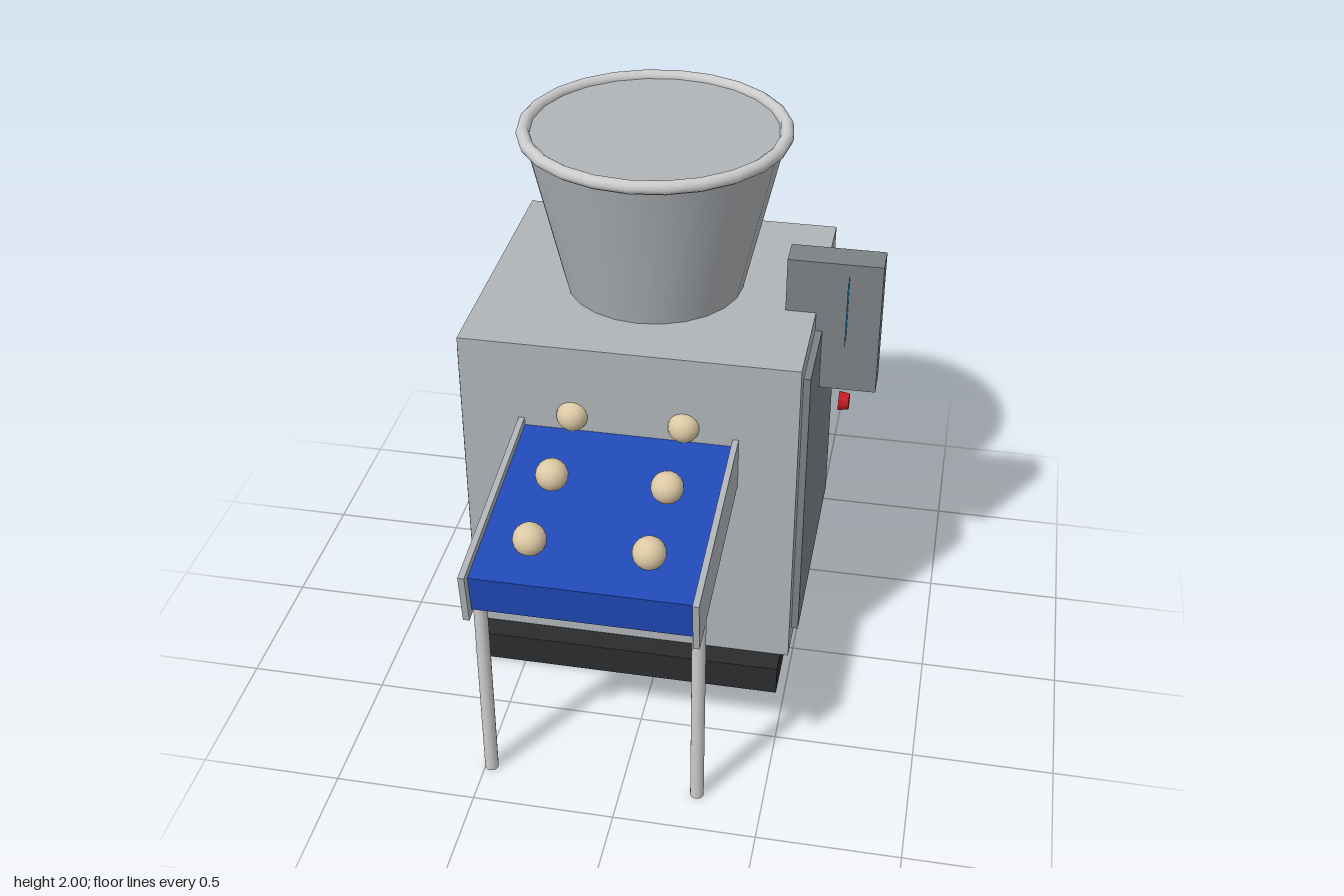
import * as THREE from 'three';

const paint = (color) => new THREE.MeshStandardMaterial({ color });

export function createModel() {
  const model = new THREE.Group();
  const steel = paint(0xb0b4b8), silver = paint(0xcccccc), panelGrey = paint(0x7c8184);
  const black = paint(0x2a2c2e), blue = paint(0x2149b8), cream = paint(0xdcc9a4);
  const red = paint(0xc41c22), screenBlue = paint(0x1c94d2);
  screenBlue.side = THREE.DoubleSide;

  function add(name, geometry, material, x, y, z, parent = model) {
    const mesh = new THREE.Mesh(geometry, material);
    mesh.name = name;
    mesh.position.set(x, y, z);
    parent.add(mesh);
    return mesh;
  }
  // Box given by its lower and upper limits on each axis
  function block(name, material, [x0, x1], [y0, y1], [z0, z1], parent = model) {
    return add(name, new THREE.BoxGeometry(x1 - x0, y1 - y0, z1 - z0), material,
      (x0 + x1) / 2, (y0 + y1) / 2, (z0 + z1) / 2, parent);
  }

  // Cabinet on its plinth, with a raised panel on each side
  block('plinth', black, [-0.685, 0.47], [0, 0.115], [-0.977, 0.265]);
  block('cabinet', steel, [-0.71, 0.5], [0.115, 1.375], [-0.893, 0.178]);
  block('rightSidePanel', panelGrey, [-0.735, -0.7], [0.19, 1.302], [-0.822, 0.105]);
  block('leftSidePanel', panelGrey, [0.49, 0.525], [0.19, 1.302], [-0.822, 0.105]);

  // Round hopper, closed at the top, with a rolled rim
  add('hopper', new THREE.CylinderGeometry(0.463, 0.325, 0.6, 24), steel, -0.108, 1.675, -0.36);
  const rim = add('hopperRim', new THREE.TorusGeometry(0.463, 0.024, 10, 24), silver, -0.108, 1.975, -0.36);
  rim.rotation.x = Math.PI / 2;

  // Control box with a thin screen through it and a button below
  block('controlBox', panelGrey, [0.39, 0.73], [1.065, 1.58], [-0.342, -0.225]);
  const screen = add('screen', new THREE.PlaneGeometry(0.254, 0.256), screenBlue, 0.612, 1.408, -0.284);
  screen.rotation.y = Math.PI / 2;
  const button = add('button', new THREE.CylinderGeometry(0.03, 0.036, 0.038, 16), red, 0.615, 0.977, -0.284);
  button.rotation.z = -Math.PI / 2;

  // Sloping conveyor: origin at the front top edge of the belt, rising towards the back
  const conveyor = new THREE.Group();
  conveyor.name = 'conveyor';
  conveyor.position.set(-0.105, 0.945, 0.945);
  conveyor.rotation.x = 0.124;
  model.add(conveyor);
  block('belt', blue, [-0.375, 0.375], [-0.146, 0], [-0.95, 0], conveyor);
  for (const side of [-1, 1]) {
    const rail = add('conveyorRail', new THREE.BoxGeometry(0.022, 0.196, 1), steel,
      side * 0.385, -0.069, -0.468, conveyor);
    rail.name = side < 0 ? 'rightRail' : 'leftRail';

    // Product balls in two rows along the belt
    for (let i = 0; i < 3; i++) {
      add('ball', new THREE.SphereGeometry(0.057, 20, 14), cream,
        side * 0.2, 0.057, -0.154 - i * 0.316, conveyor);
    }

    // Front leg under the rail
    add('conveyorLeg', new THREE.CylinderGeometry(0.024, 0.024, 0.8, 16), silver,
      -0.105 + side * 0.373, 0.4, 0.835);
  }

  return model;
}
